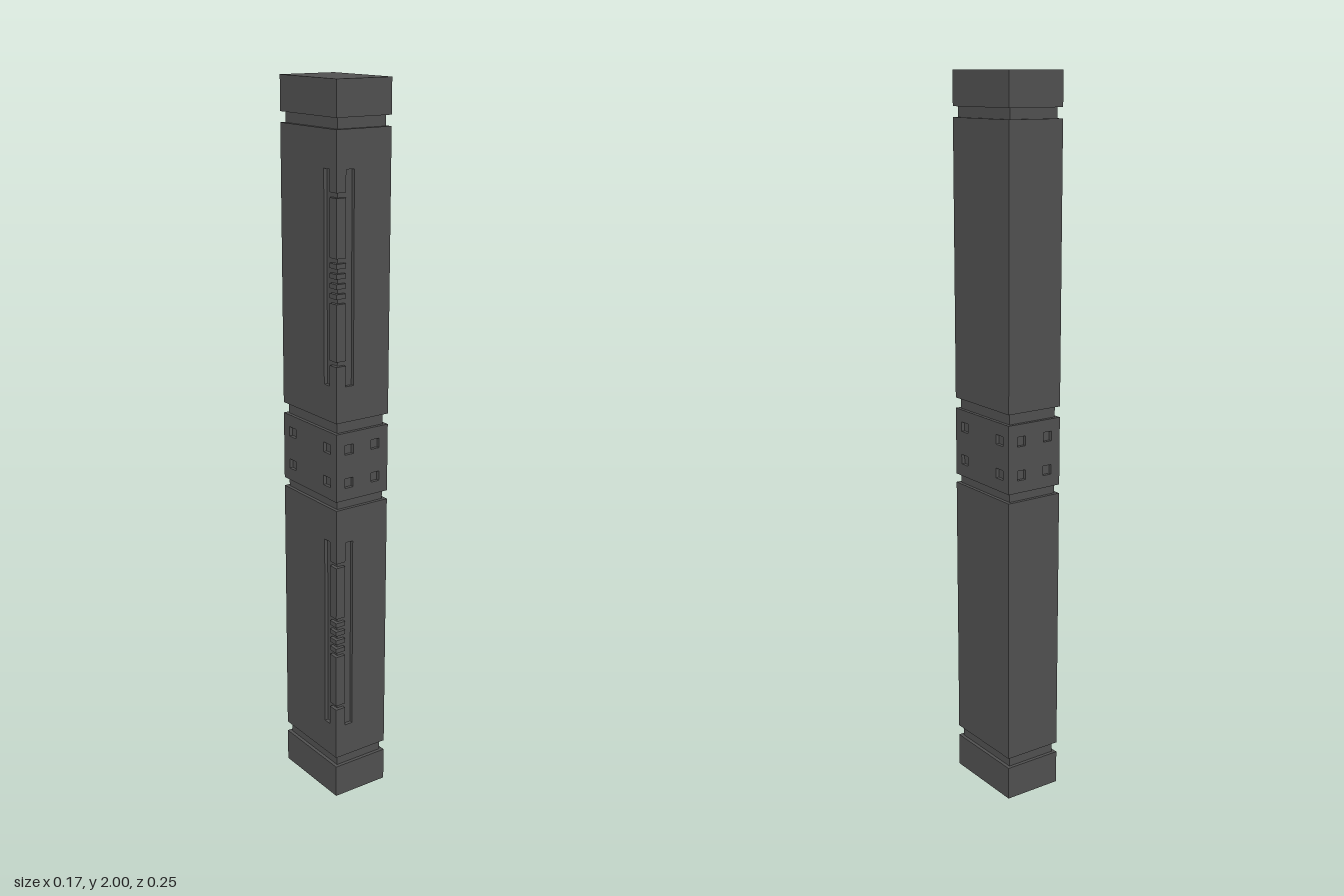
import * as THREE from 'three';

const W = 0.085, D = 0.126;   // half width and half depth
const R = 0.01;               // depth of every groove and recess
const NEAR = 0.03, FAR = 0.055; // slot edges, measured from the grooved corner

export function createModel() {
  const group = new THREE.Group();
  const charcoal = new THREE.MeshStandardMaterial({ color: 0x505050 });
  charcoal.name = 'charcoal';

  const add = (name, geometry, parent = group) => {
    const mesh = new THREE.Mesh(geometry, charcoal);
    mesh.name = name;
    parent.add(mesh);
    return mesh;
  };

  // Extrude an (x, z) outline upwards from y0 to y1
  const prism = (points, y0, y1) => {
    const shape = new THREE.Shape(points.map(([x, z]) => new THREE.Vector2(x, -z)));
    return new THREE.ExtrudeGeometry(shape, { depth: y1 - y0, bevelEnabled: false })
      .rotateX(-Math.PI / 2).translate(0, y0, 0);
  };

  // Outlines: plain, with a slot either side of one corner, with that corner cut back
  const base = [[-W, -D], [W, -D], [W, D]];
  const plain = [...base, [-W, D]];
  const slotted = [...base,
    [-W + FAR, D], [-W + FAR, D - R], [-W + NEAR, D - R], [-W + NEAR, D],
    [-W, D],
    [-W, D - NEAR], [-W + R, D - NEAR], [-W + R, D - FAR], [-W, D - FAR]];
  const notched = [...base,
    [-W + FAR, D], [-W + FAR, D - R], [-W + R, D - R], [-W + R, D - FAR], [-W, D - FAR]];

  // Recessed core, seen as the necks and at the bottom of the square holes
  add('core', new THREE.BoxGeometry(2 * (W - R), 1.9, 2 * (D - R)).translate(0, 1, 0));

  // End caps
  add('bottomCap', prism(plain, 0, 0.095));
  add('topCap', prism(plain, 1.908, 2));

  // Two long shafts with slots and a notched corner rail
  const notches = [-0.217, -0.052, -0.026, 0, 0.026, 0.052, 0.217];
  const notchHalf = 0.0065;
  for (const [name, bottom, top] of [['lowerShaft', 0.125, 0.88], ['upperShaft', 1.125, 1.88]]) {
    const shaft = new THREE.Group();
    shaft.name = name;
    group.add(shaft);
    const mid = bottom + 0.377, s0 = mid - 0.28, s1 = mid + 0.28;
    add('shaftBase', prism(plain, bottom, s0), shaft);
    add('shaftTop', prism(plain, s1, top), shaft);
    let y = s0;
    for (const n of notches) {
      const a = mid + n - notchHalf, b = mid + n + notchHalf;
      add('slottedSection', prism(slotted, y, a), shaft);
      add('notch', prism(notched, a, b), shaft);
      y = b;
    }
    add('slottedSection', prism(slotted, y, s1), shaft);
  }

  // Middle block: four panels, each with four square holes
  const middle = new THREE.Group();
  middle.name = 'middleBlock';
  middle.position.y = 1;
  group.add(middle);
  const rect = (target, cx, cy, hw, hh) => {
    target.moveTo(cx - hw, cy - hh);
    target.lineTo(cx + hw, cy - hh);
    target.lineTo(cx + hw, cy + hh);
    target.lineTo(cx - hw, cy + hh);
    target.closePath();
    return target;
  };
  const panel = (half, holeX, holeHalf) => {
    const shape = rect(new THREE.Shape(), 0, 0, half, 0.095);
    for (const sx of [-1, 1]) for (const sy of [-1, 1])
      shape.holes.push(rect(new THREE.Path(), sx * holeX, sy * 0.047, holeHalf, 0.0135));
    return new THREE.ExtrudeGeometry(shape, { depth: R, bevelEnabled: false });
  };
  const endPanel = panel(W, 0.043, 0.0135).translate(0, 0, D - R);
  const sidePanel = panel(D - R, 0.083, 0.016).translate(0, 0, W - R);
  add('frontPanel', endPanel, middle);
  add('backPanel', endPanel, middle).rotation.y = Math.PI;
  add('leftPanel', sidePanel, middle).rotation.y = Math.PI / 2;
  add('rightPanel', sidePanel, middle).rotation.y = -Math.PI / 2;

  return group;
}
